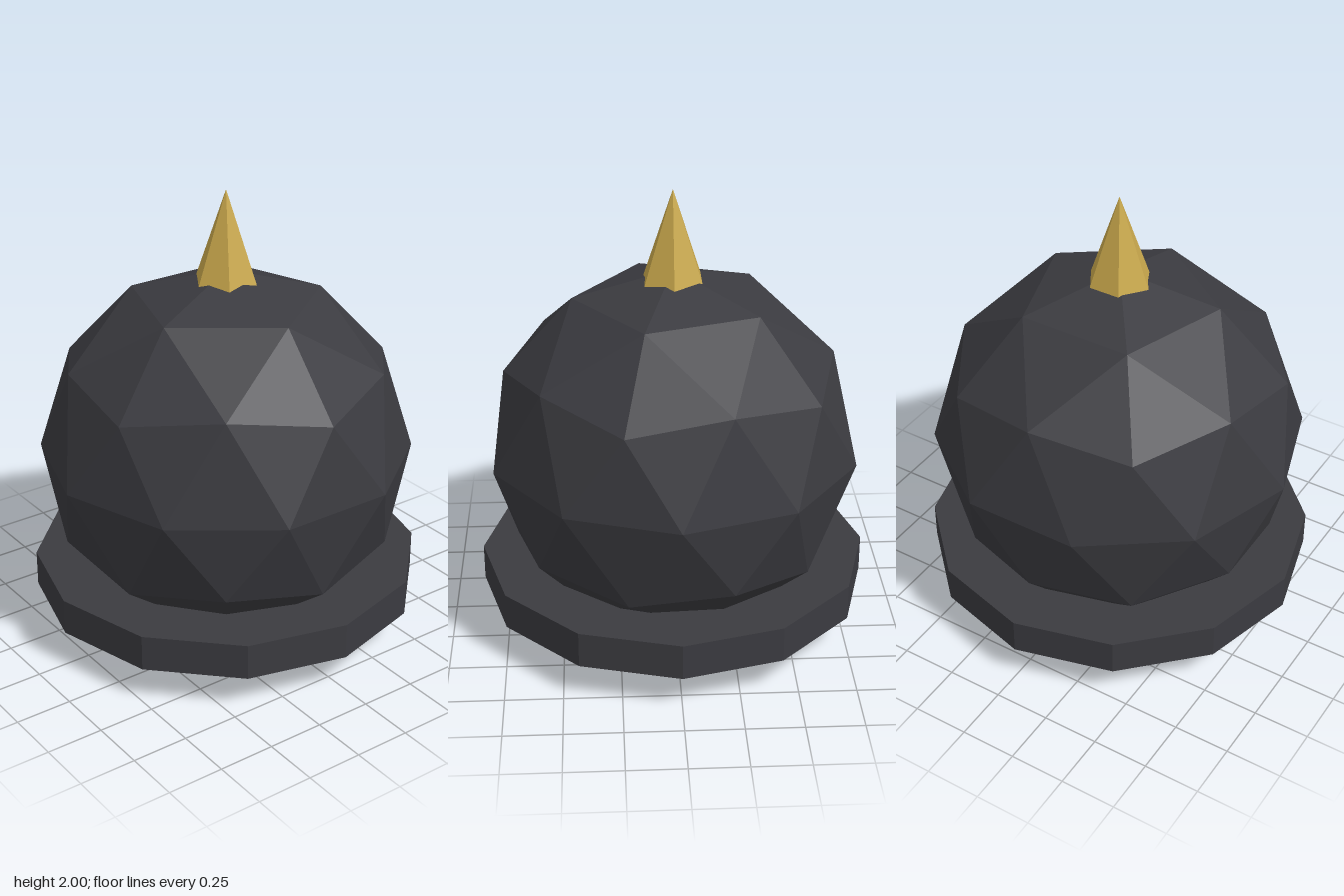
import * as THREE from 'three';

const paint = (name, color) => {
  const m = new THREE.MeshStandardMaterial({ color, flatShading: true });
  m.name = name;
  return m;
};

export function createModel() {
  const group = new THREE.Group();
  const charcoal = paint('charcoal', 0x3b3b40);
  const gold = paint('gold', 0xc9a84c);

  const add = (name, geometry, material, y) => {
    const mesh = new THREE.Mesh(geometry, material);
    mesh.name = name;
    mesh.position.y = y;
    group.add(mesh);
  };

  // Faceted dome, turned so that a corner points straight up and another down
  const R = 0.823;
  const dome = new THREE.IcosahedronGeometry(R, 1);
  dome.rotateZ(-Math.atan(2 / (1 + Math.sqrt(5))));
  add('dome', dome, charcoal, R);

  // Twelve-sided brim disc around the lower part of the dome
  add('brim', new THREE.CylinderGeometry(0.862, 0.862, 0.16, 12), charcoal, 0.24);

  // Six-sided spike, with its base sunk into the dome
  const h = 0.467;
  add('spike', new THREE.ConeGeometry(0.165, h, 6), gold, 2 - h / 2);

  return group;
}
